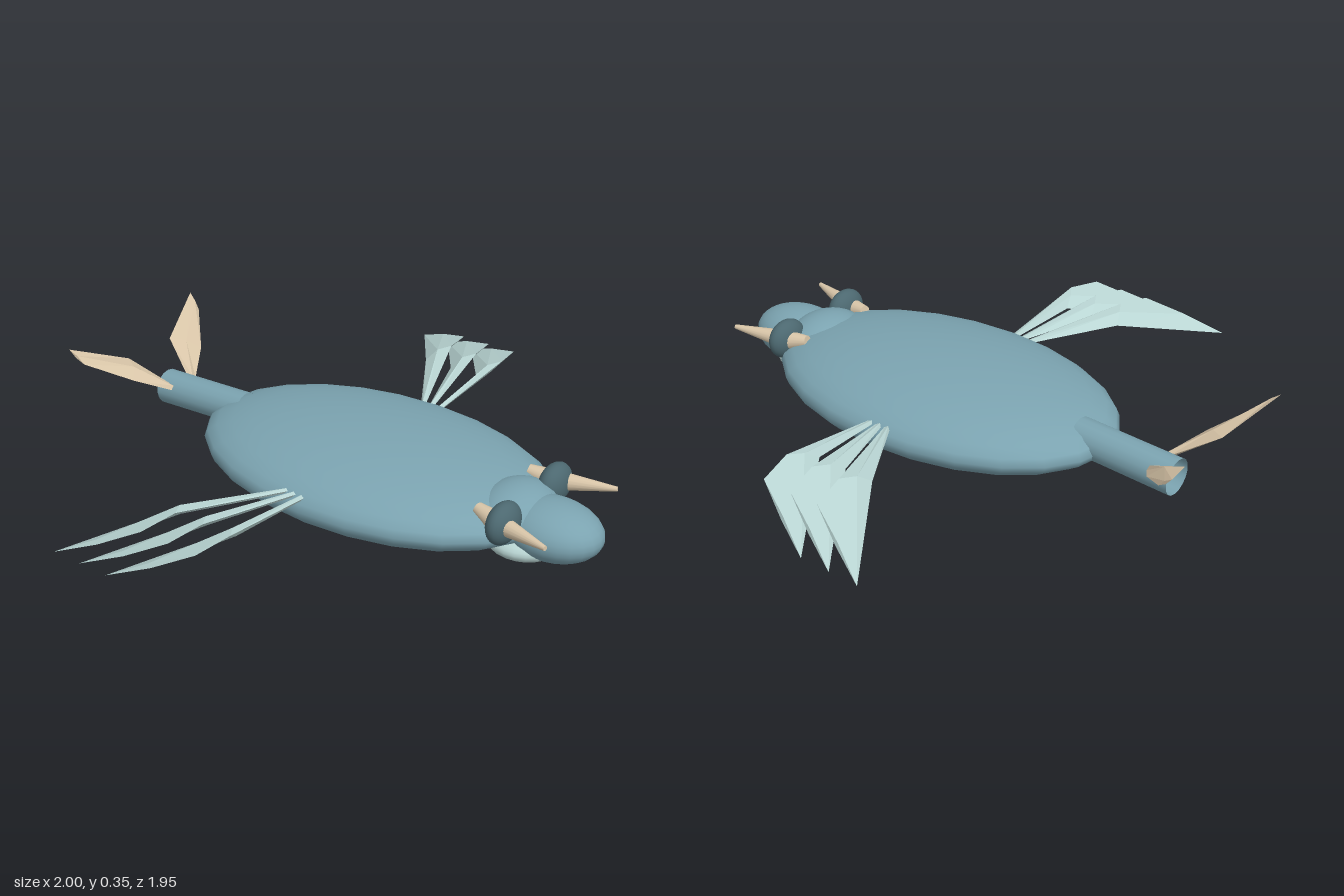
import * as THREE from 'three';

const mat = (name, color, side = THREE.FrontSide) =>
  Object.assign(new THREE.MeshStandardMaterial({ color, side }), { name });

export function createModel() {
  const model = new THREE.Group();
  model.name = 'flyingCreature';
  const blue = mat('slateBlue', 0x7ba3b0, THREE.DoubleSide);
  const pale = mat('paleAqua', 0xb9d5d3, THREE.DoubleSide);
  const bone = mat('bone', 0xd8c5a8, THREE.DoubleSide);
  const dark = mat('darkTeal', 0x4c6870);

  const add = (name, geometry, material) => {
    const mesh = new THREE.Mesh(geometry, material);
    mesh.name = name;
    model.add(mesh);
    return mesh;
  };

  const ellipsoid = (name, material, [x, y, z], [rx, ry, rz], segments = 24) => {
    const g = new THREE.SphereGeometry(1, segments, 16);
    g.scale(rx, ry, rz);
    add(name, g, material).position.set(x, y, z);
  };

  // Tapered round rod between two points
  const rod = (name, material, from, to, r0, r1, open = false) => {
    const a = new THREE.Vector3(...from), b = new THREE.Vector3(...to);
    const g = new THREE.CylinderGeometry(r1, r0, a.distanceTo(b), 16, 1, open);
    const mesh = add(name, g, material);
    mesh.position.copy(a).add(b).multiplyScalar(0.5);
    mesh.quaternion.setFromUnitVectors(new THREE.Vector3(0, 1, 0), b.sub(a).normalize());
  };

  // Faceted blade: each section is [edge point, edge point, half thickness]
  const blade = (name, material, sections, s) => {
    const rings = sections.map(([p, q]) => [p, q].map(([x, y, z]) => new THREE.Vector3(s * x, y, z)));
    const span = rings[1][0].clone().add(rings[1][1]).sub(rings[0][0]).sub(rings[0][1]);
    const normal = rings[1][1].clone().sub(rings[1][0]).cross(span).normalize();
    const points = [], index = [];
    rings.forEach(([p, q], i) => {
      const m = p.clone().lerp(q, 0.5), t = sections[i][2];
      points.push(p, m.clone().addScaledVector(normal, t), q, m.clone().addScaledVector(normal, -t));
      if (i === 0) return;
      for (let k = 0; k < 4; k++) {
        const a = (i - 1) * 4 + k, b = (i - 1) * 4 + (k + 1) % 4;
        index.push(a, b, a + 4, b, b + 4, a + 4);
      }
    });
    const e = points.length - 4;
    index.push(0, 2, 1, 0, 3, 2, e, e + 1, e + 2, e, e + 2, e + 3);
    const g = new THREE.BufferGeometry().setFromPoints(points);
    g.setIndex(index);
    const flat = g.toNonIndexed();
    flat.computeVertexNormals();
    add(name, flat, material);
  };

  // Body, neck, head and throat
  ellipsoid('body', blue, [0, 0.14, 0.12], [0.415, 0.133, 0.665]);
  ellipsoid('neck', blue, [0, 0.15, 0.67], [0.16, 0.096, 0.13]);
  ellipsoid('head', blue, [0, 0.132, 0.8], [0.132, 0.094, 0.177]);
  ellipsoid('throat', pale, [0, 0.082, 0.72], [0.148, 0.058, 0.135]);

  // Open tail tube
  rod('tail', blue, [0, 0.16, -0.44], [0, 0.143, -0.81], 0.062, 0.063, true);

  for (const s of [1, -1]) {
    const side = s > 0 ? 'left' : 'right';

    // Eye pierced by a forward horn
    ellipsoid(side + 'Eye', dark, [s * 0.153, 0.195, 0.717], [0.078, 0.07, 0.046]);
    rod(side + 'Horn', bone, [s * 0.165, 0.197, 0.7], [s * 0.22, 0.207, 0.905], 0.035, 0.008);
    rod(side + 'HornRoot', bone, [s * 0.165, 0.197, 0.7], [s * 0.15, 0.212, 0.62], 0.035, 0.02);

    // Fan of three wing feathers
    for (let k = 0; k < 3; k++) {
      const d = -0.11 * k, root = 0.115 - 0.033 * k;
      blade(side + 'Feather' + (k + 1), pale, [
        [[0.38, 0.178, root - 0.01], [0.38, 0.182, root + 0.01], 0.008],
        [[0.66, 0.19, 0.085 + d], [0.754, 0.226, 0.134 + d], 0.014],
        [[1, 0.1, -0.155 + d], [0.88, 0.21, 0.107 + d], 0.008],
      ], s);
    }

    // Raised tail fin
    blade(side + 'TailFin', bone, [
      [[0.064, 0.172, -0.738], [0.04, 0.178, -0.752], 0.01],
      [[0.176, 0.232, -0.807], [0.107, 0.268, -0.898], 0.015],
      [[0.3, 0.31, -0.925], [0.315, 0.358, -0.978], 0.005],
    ], s);
  }
  return model;
}
